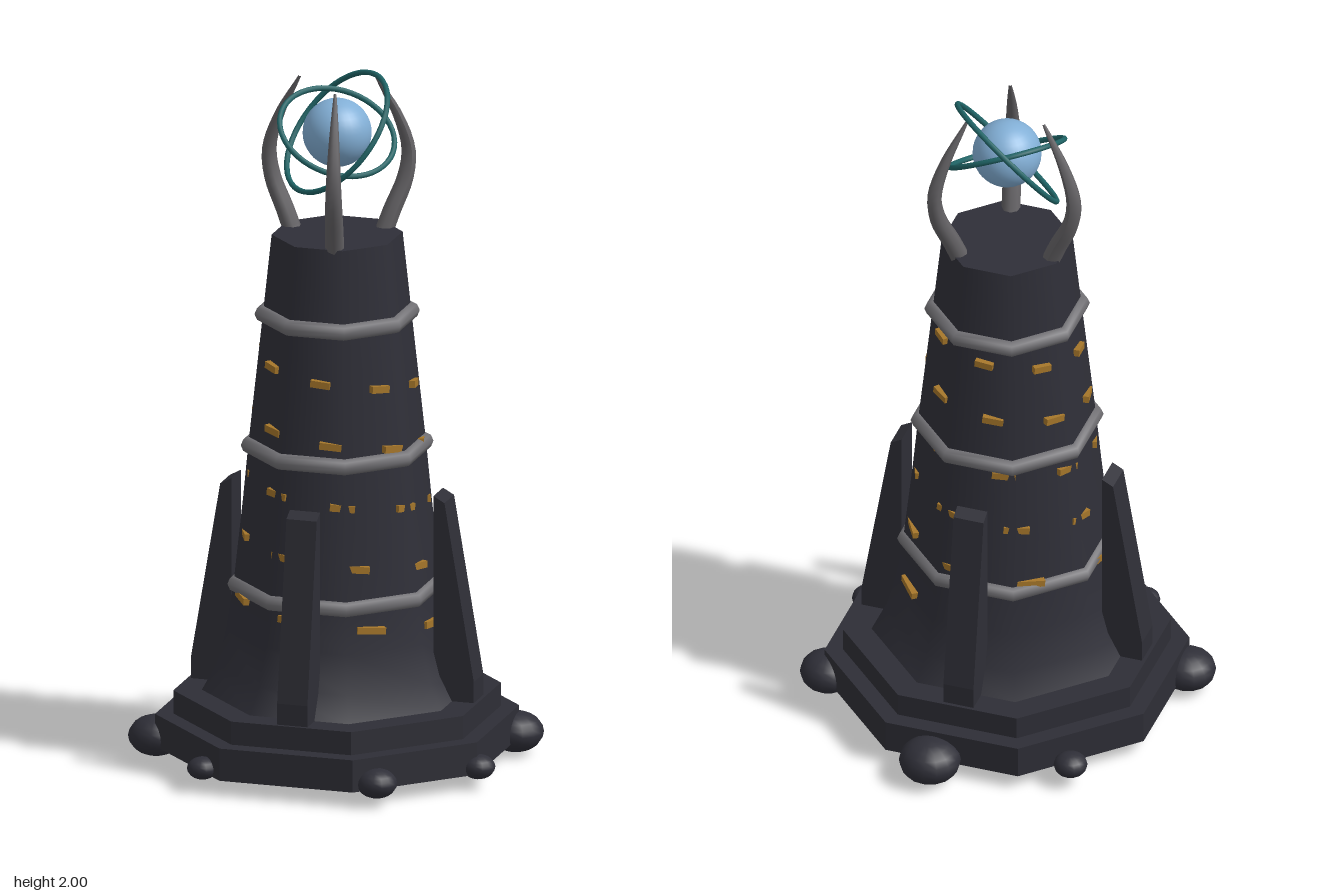
import * as THREE from 'three';

const mat = (name, color, extra = {}) => {
  const m = new THREE.MeshStandardMaterial({ color, ...extra });
  m.name = name;
  return m;
};

// Radius of an octagon's corners from the distance to its flats
const corner = (apothem) => apothem / Math.cos(Math.PI / 8);

// Tube along a curve whose thickness follows radiusAt(t)
function taperedTube(curve, segments, sides, radiusAt) {
  const geo = new THREE.TubeGeometry(curve, segments, 1, sides, false);
  const pos = geo.attributes.position;
  const v = new THREE.Vector3();
  for (let i = 0; i < pos.count; i++) {
    const t = Math.floor(i / (sides + 1)) / segments;
    const c = curve.getPointAt(t);
    v.fromBufferAttribute(pos, i).sub(c).multiplyScalar(radiusAt(t)).add(c);
    pos.setXYZ(i, v.x, v.y, v.z);
  }
  geo.computeVertexNormals();
  return geo;
}

export function createModel() {
  const model = new THREE.Group();
  model.name = 'orbTower';
  const tower = new THREE.Group();
  tower.name = 'tower';
  tower.position.set(-0.005, 0, 0.005);
  model.add(tower);

  const darkStone = mat('darkStone', 0x2f2f38);
  const flatStone = mat('facetedStone', 0x2e2e36, { flatShading: true });
  const band = mat('bandGrey', 0x717074);
  const claw = mat('clawGrey', 0x646265);
  const teal = mat('tealMetal', 0x1f6466);
  const gold = mat('goldRune', 0xa5762a);
  const orbBlue = mat('orbBlue', 0x82afd6);

  const add = (name, geo, material, parent = tower) => {
    const mesh = new THREE.Mesh(geo, material);
    mesh.name = name;
    parent.add(mesh);
    return mesh;
  };

  // Two-step octagonal plinth: [apothem, bottom, top]
  [[0.478, 0.045, 0.14], [0.43, 0.14, 0.208]].forEach(([a, y0, y1], i) => {
    const geo = new THREE.CylinderGeometry(corner(a), corner(a), y1 - y0, 8);
    geo.rotateY(Math.PI / 8).translate(0, (y0 + y1) / 2, 0);
    add(i ? 'upperPlinth' : 'lowerPlinth', geo, flatStone);
  });

  // Flared octagonal shaft: [apothem, y]
  const profile = [[0.355, 0.208], [0.318, 0.28], [0.29, 0.39], [0.272, 0.52],
    [0.247, 0.77], [0.233, 0.93], [0.195, 1.31], [0.172, 1.545]];
  const shaft = new THREE.LatheGeometry(
    profile.map(([a, y]) => new THREE.Vector2(corner(a), y)), 8, Math.PI / 8);
  add('shaft', shaft, darkStone);
  const cap = new THREE.CircleGeometry(corner(0.172), 8);
  cap.rotateX(-Math.PI / 2).rotateY(Math.PI / 8).translate(0, 1.545, 0);
  add('shaftTop', cap, darkStone);

  const apothemAt = (y) => {
    let i = 1;
    while (i < profile.length - 1 && profile[i][1] < y) i++;
    const [a0, y0] = profile[i - 1], [a1, y1] = profile[i];
    return a0 + (a1 - a0) * (y - y0) / (y1 - y0);
  };

  // Octagonal bands: [outer apothem, y]
  for (const [a, y] of [[0.288, 0.518], [0.253, 0.926], [0.217, 1.312]]) {
    const geo = new THREE.TorusGeometry(corner(a) - 0.024, 0.024, 8, 8);
    geo.rotateX(Math.PI / 2).rotateY(Math.PI / 8).translate(0, y, 0);
    add('band', geo, band);
  }

  // Four buttresses on the diagonals
  const side = new THREE.Shape([[0.3, 0.18], [0.42, 0.18], [0.42, 0.27], [0.333, 0.79], [0.3, 0.808]]
    .map(([r, y]) => new THREE.Vector2(r, y)));
  const finGeo = new THREE.ExtrudeGeometry(side, { depth: 0.09, bevelEnabled: false });
  finGeo.translate(0, 0, -0.045);
  for (let i = 0; i < 4; i++) {
    add('buttress', finGeo, flatStone).rotation.y = Math.PI / 4 + i * Math.PI / 2;
  }

  // Golden chips winding down the shaft
  const runes = new THREE.Group();
  runes.name = 'runes';
  tower.add(runes);
  for (let i = 0; i < 40; i++) {
    const y = 1.27 - i * 0.0221;
    const width = 0.052 + i * 0.0009;
    const geo = new THREE.BoxGeometry(0.026, 0.02, width);
    geo.rotateX(-0.1).translate(apothemAt(y) + 0.002, y, 0);
    add('rune', geo, gold, runes).rotation.y = THREE.MathUtils.degToRad(46 * i);
  }

  // Three curved claws around the orb
  const path = new THREE.CatmullRomCurve3(
    [[0.145, 1.52], [0.175, 1.59], [0.217, 1.68], [0.228, 1.76], [0.197, 1.86], [0.125, 1.99]]
      .map(([x, y]) => new THREE.Vector3(x, y, 0)));
  const clawGeo = taperedTube(path, 20, 8, (t) => 0.027 - 0.023 * t * t);
  for (let i = 0; i < 3; i++) {
    add('claw', clawGeo, claw).rotation.y = i * Math.PI * 2 / 3;
  }

  // Orb with two tilted rings
  const orb = new THREE.Group();
  orb.name = 'orbAssembly';
  orb.position.y = 1.842;
  tower.add(orb);
  add('orb', new THREE.SphereGeometry(0.098, 32, 20), orbBlue, orb);
  const ring = (r) => new THREE.TorusGeometry(r, 0.008, 8, 48).rotateX(Math.PI / 2);
  add('innerRing', ring(0.168), teal, orb).rotation.x = 0.58;
  add('outerRing', ring(0.197), teal, orb).rotation.z = 0.89;

  // Boulders at the foot: [x, z, radius]
  const boulders = [[0.05, -0.515, 0.048], [0.398, -0.32, 0.088], [-0.454, -0.237, 0.08],
    [-0.492, 0.121, 0.044], [0.467, 0.198, 0.08], [0.208, 0.468, 0.048], [-0.125, 0.485, 0.058]];
  for (const [x, z, r] of boulders) {
    const rock = add('boulder', new THREE.SphereGeometry(r, 14, 10), darkStone);
    rock.scale.y = 0.73;
    rock.position.set(x, 0.065, z);
  }
  return model;
}
